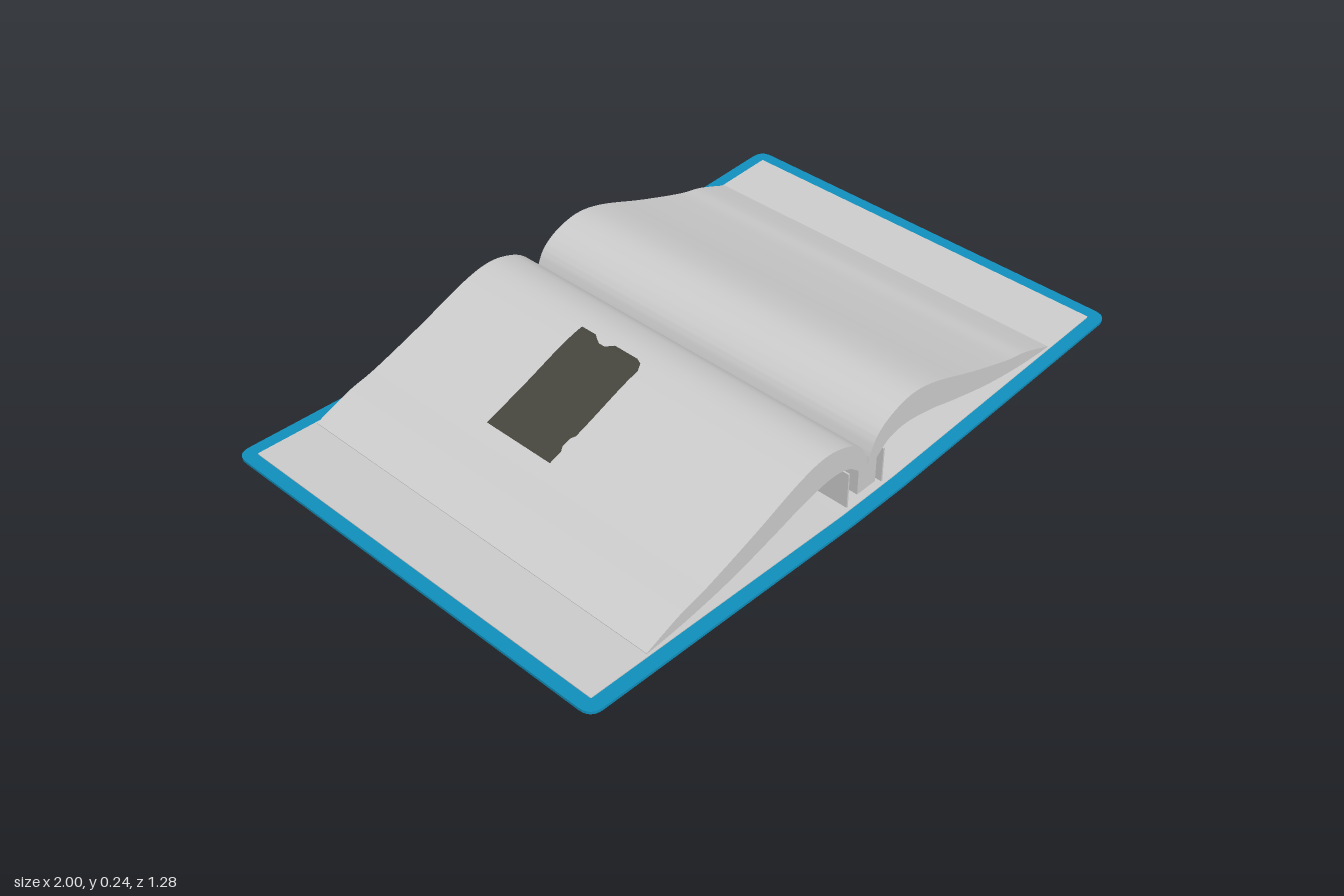
import * as THREE from 'three';
import { toCreasedNormals } from 'three/addons/utils/BufferGeometryUtils.js';

const BEND = 0.1, SLOPE = 0.0422;
const curve = (pts, n) => new THREE.SplineCurve(pts.map(p => new THREE.Vector2(...p))).getPoints(n);

// upper and lower outline of one half of the open pages
const topLine = curve([[0, 0.107], [0.008, 0.14], [0.033, 0.185], [0.085, 0.22], [0.165, 0.238], [0.26, 0.221],
  [0.42, 0.161], [0.58, 0.107], [0.67, 0.085], [0.78, 0.043]], 64);
const underLine = curve([[0.78, 0.04], [0.65, 0.05], [0.5, 0.073], [0.35, 0.11], [0.25, 0.138], [0.15, 0.155],
  [0.08, 0.145], [0.035, 0.112]], 48);

function pageHeight(x) {
  const a = Math.abs(x);
  const i = Math.max(1, topLine.findIndex(p => p.x >= a));
  const p = topLine[i - 1], q = topLine[i];
  return p.y + (q.y - p.y) * (a - p.x) / (q.x - p.x);
}

function add(group, name, geometry, material) {
  const mesh = new THREE.Mesh(geometry, material);
  mesh.name = name;
  group.add(mesh);
  return mesh;
}

// flat half board with rounded outer corners, tilted up away from the spine
function board(side, width, depth, radius, y, thickness) {
  const s = new THREE.Shape();
  s.moveTo(side * BEND, -depth);
  s.lineTo(side * (width - radius), -depth);
  s.quadraticCurveTo(side * width, -depth, side * width, -depth + radius);
  s.lineTo(side * width, depth - radius);
  s.quadraticCurveTo(side * width, depth, side * (width - radius), depth);
  s.lineTo(side * BEND, depth);
  const g = new THREE.ExtrudeGeometry(s, { depth: thickness, bevelEnabled: false, curveSegments: 6 });
  g.rotateX(-Math.PI / 2);
  const p = g.attributes.position;
  for (let i = 0; i < p.count; i++) p.setY(i, p.getY(i) + y + SLOPE * (Math.abs(p.getX(i)) - BEND));
  g.computeVertexNormals();
  return g;
}

function box(w, h, d, x, y) {
  return new THREE.BoxGeometry(w, h, d).translate(x, y, 0);
}

export function createModel() {
  const book = new THREE.Group();
  book.name = 'openBook';
  const paper = new THREE.MeshStandardMaterial({ color: 0xcdcdcd });
  const blue = new THREE.MeshStandardMaterial({ color: 0x1090be });
  const ink = new THREE.MeshStandardMaterial({ color: 0x46463e });

  // cover boards and endpapers
  for (const side of [1, -1]) {
    const label = side > 0 ? 'left' : 'right';
    add(book, label + 'Cover', board(side, 1, 0.638, 0.04, 0.002, 0.008), blue);
    add(book, label + 'Endpaper', board(side, 0.962, 0.6, 0.004, 0.0095, 0.003), paper);
    // thin lining walls beside the binding
    add(book, label + 'SpineLining', box(0.005, 0.108, 1.18, side * 0.068, 0.066), paper);
  }

  // spine with a pale strip that shows underneath
  add(book, 'spine', box(2 * BEND, 0.008, 1.276, 0, 0.006), blue);
  add(book, 'spineStrip', box(0.22, 0.004, 1.22, 0, 0.002), paper);
  add(book, 'spineEndpaper', box(2 * BEND, 0.003, 1.2, 0, 0.011), paper);

  // curved page block with its bound stem
  const half = [...topLine, ...underLine, new THREE.Vector2(0.035, 0.035)];
  const mirrored = half.slice(1).reverse().map(p => new THREE.Vector2(-p.x, p.y));
  const pages = new THREE.ExtrudeGeometry(new THREE.Shape([...half, ...mirrored]), { depth: 1.186, bevelEnabled: false });
  pages.translate(0, 0, -0.593);
  add(book, 'pages', toCreasedNormals(pages, 0.5), paper);

  // printed patch lying on the right-hand page, as rows of [z, right edge]
  const rows = [[-0.2, -0.2], [-0.15, -0.2], [-0.135, -0.21], [-0.12, -0.218], [-0.1, -0.218], [-0.08, -0.2],
    [0.0, -0.2], [0.018, -0.208], [0.03, -0.23]];
  const cols = 24, pos = [], index = [];
  rows.forEach(([z, right], r) => {
    for (let c = 0; c <= cols; c++) {
      const x = -0.54 + (right + 0.54) * c / cols;
      const nick = r === rows.length - 1 && x > -0.49 && x < -0.45 ? 0.008 : 0;
      pos.push(x, pageHeight(x) + 0.003, z - nick);
      if (r && c) {
        const d = r * (cols + 1) + c, b = d - cols - 1;
        index.push(b - 1, d - 1, b, b, d - 1, d);
      }
    }
  });
  const patch = new THREE.BufferGeometry();
  patch.setAttribute('position', new THREE.Float32BufferAttribute(pos, 3));
  patch.setIndex(index);
  patch.computeVertexNormals();
  add(book, 'printedPatch', patch, ink);

  return book;
}
